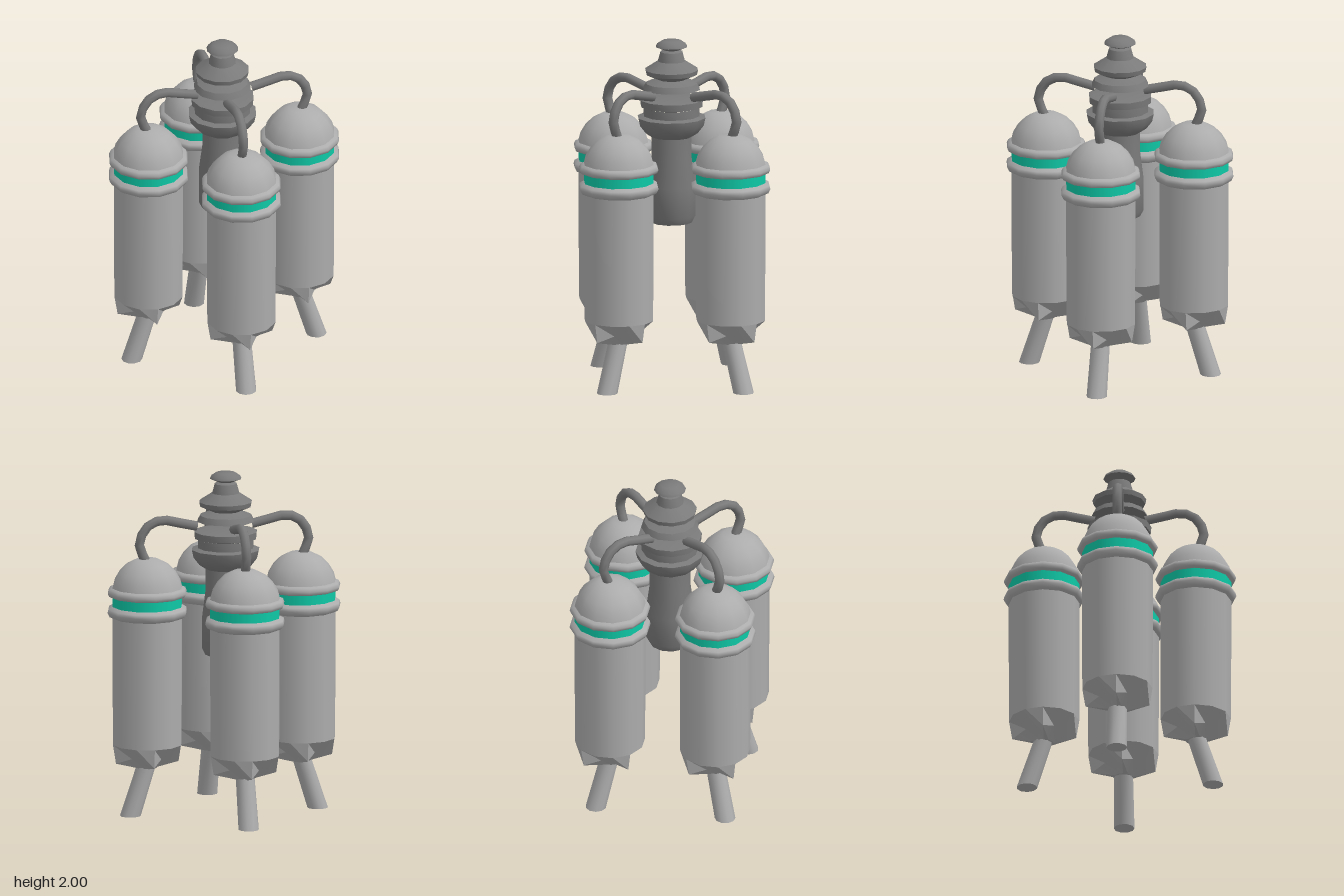
import * as THREE from 'three';
import { toCreasedNormals } from 'three/addons/utils/BufferGeometryUtils.js';

const SIDES = 12;
const material = (name, color) => {
  const m = new THREE.MeshStandardMaterial({ color });
  m.name = name;
  return m;
};

function addMesh(parent, name, geometry, mat) {
  const mesh = new THREE.Mesh(geometry, mat);
  mesh.name = name;
  parent.add(mesh);
  return mesh;
}

// Profile points are [radius, height], listed from bottom to top
const lathe = (points, sides = SIDES) =>
  new THREE.LatheGeometry(points.map(([r, y]) => new THREE.Vector2(r, y)), sides);

const creasedLathe = (points, angle = 0.7) => toCreasedNormals(lathe(points), angle);

// Funnel under the tank, with four corners drawn out to points
function funnelGeometry() {
  const profile = [[0, 0.27], [0.055, 0.28], [0.12, 0.345], [0.203, 0.42]];
  const geometry = lathe(profile);
  const pos = geometry.attributes.position;
  for (let i = 0; i <= SIDES; i += 3) {
    const a = (i / SIDES) * Math.PI * 2;
    pos.setXYZ(i * profile.length + 2, 0.185 * Math.sin(a), 0.31, 0.185 * Math.cos(a));
  }
  return toCreasedNormals(geometry, 0.5);
}

// Leg leaning outwards along +x, cut level with the ground
function legGeometry() {
  const height = 0.33;
  const geometry = new THREE.CylinderGeometry(0.055, 0.06, height, 10);
  geometry.translate(0, height / 2, 0);
  const pos = geometry.attributes.position;
  for (let i = 0; i < pos.count; i++) {
    pos.setX(i, pos.getX(i) + 0.1 - 0.32 * pos.getY(i));
  }
  return toCreasedNormals(geometry, 0.8);
}

function pipeGeometry() {
  const points = [[0.16, 1.69], [0.25, 1.71], [0.37, 1.733], [0.45, 1.7], [0.5, 1.6], [0.455, 1.48]];
  const path = new THREE.CurvePath();
  const v = points.map(([x, y]) => new THREE.Vector3(x, y, 0));
  const curve = new THREE.CatmullRomCurve3(v);
  return new THREE.TubeGeometry(curve, 9, 0.028, 8);
}

export function createModel() {
  const model = new THREE.Group();
  model.name = 'tankCluster';
  const lightGrey = material('light grey', 0xacacac);
  const darkGrey = material('dark grey', 0x7a7a7a);
  const teal = material('teal', 0x0fc9a7);

  const parts = [
    ['tankFunnel', funnelGeometry(), lightGrey],
    ['tankBody', lathe([[0.203, 0.42], [0.205, 0.8], [0.205, 1.18]]), lightGrey],
    ['lowerCollar', lathe([[0.2, 1.165], [0.222, 1.175], [0.235, 1.2], [0.23, 1.22], [0.2, 1.237]]), lightGrey],
    ['tealBand', lathe([[0.205, 1.23], [0.205, 1.295]]), teal],
    ['upperCollar', lathe([[0.2, 1.288], [0.226, 1.295], [0.234, 1.315], [0.225, 1.335], [0.2, 1.345]]), lightGrey],
    ['dome', lathe([[0.208, 1.335], [0.195, 1.385], [0.165, 1.435], [0.12, 1.48], [0.065, 1.508], [0, 1.512]]), lightGrey],
    ['leg', legGeometry(), lightGrey],
  ];
  const pipe = pipeGeometry();

  // Four arms, each a tank with its leg and feed pipe: left, front, right, back
  const shifts = [[0, -0.003], [-0.022, -0.018], [-0.003, 0], [-0.027, 0.012]];
  shifts.forEach(([x, z], i) => {
    const arm = new THREE.Group();
    arm.name = ['leftArm', 'frontArm', 'rightArm', 'backArm'][i];
    arm.rotation.y = -i * Math.PI / 2;
    arm.position.set(x, 0, z);
    const tank = new THREE.Group();
    tank.name = 'tank';
    tank.position.x = 0.453;
    for (const [name, geometry, mat] of parts) addMesh(tank, name, geometry, mat);
    arm.add(tank);
    addMesh(arm, 'feedPipe', pipe, darkGrey);
    model.add(arm);
  });

  // Central column with its collar and the finial floating above it
  const core = new THREE.Group();
  core.name = 'core';
  core.position.set(-0.01, 0, -0.007);
  addMesh(core, 'column', creasedLathe([
    [0, 0.93], [0.12, 0.93], [0.14, 0.97], [0.14, 1.15], [0.118, 1.32], [0.118, 1.46],
  ]), darkGrey);
  addMesh(core, 'columnCollar', creasedLathe([
    [0.11, 1.43], [0.155, 1.46], [0.19, 1.505], [0.2, 1.55], [0.165, 1.56], [0.165, 1.61],
  ]), darkGrey);
  addMesh(core, 'columnDisc', creasedLathe([
    [0.15, 1.607], [0.182, 1.615], [0.185, 1.655], [0.165, 1.66], [0, 1.66],
  ]), darkGrey);
  addMesh(core, 'finial', creasedLathe([
    [0, 1.715], [0.168, 1.715], [0.15, 1.75], [0.08, 1.772], [0.15, 1.803], [0.156, 1.83],
    [0.08, 1.88], [0.065, 1.935], [0.045, 1.945], [0.093, 1.965], [0.085, 1.98], [0.055, 2], [0, 2],
  ]), darkGrey);
  model.add(core);
  return model;
}
